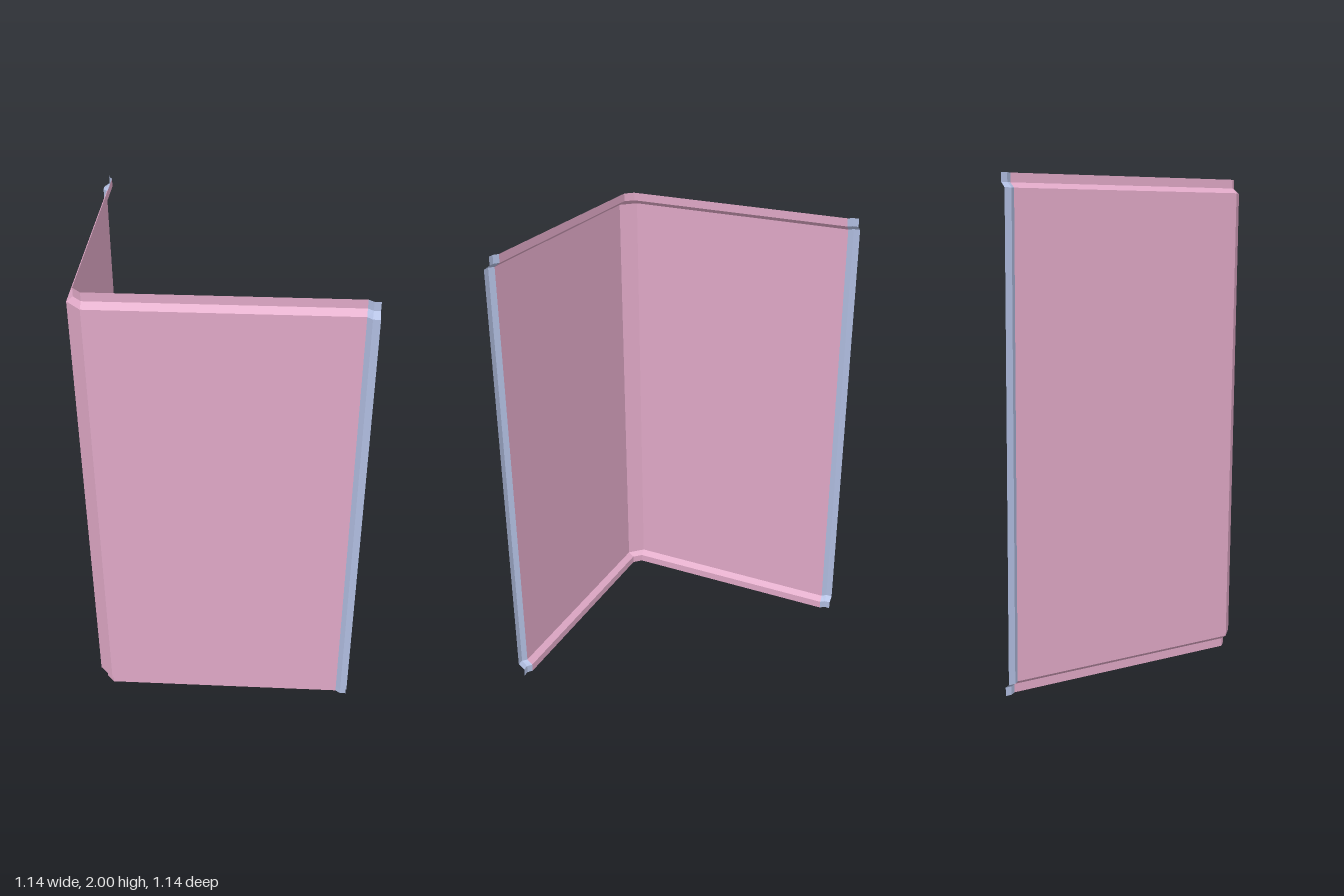
import * as THREE from 'three';

const pink = new THREE.MeshStandardMaterial({ name: 'pink panel', color: 0xdfa8c6, side: THREE.DoubleSide });
const blue = new THREE.MeshStandardMaterial({ name: 'pale blue edge', color: 0xb0bde0, side: THREE.DoubleSide });

// Half plan from the corner to the open end: [x, z] of the body and of the inset lip
const half = [
  { body: [-0.492, 0.551], lip: [-0.491, 0.525] },
  { body: [0.521, 0.551], lip: [0.523, 0.525] },
  { body: [0.54, 0.568], lip: [0.543, 0.54] },
  { body: [0.568, 0.568], lip: [0.568, 0.54] },
];
// The other half mirrors across the corner diagonal
const swap = ([x, z]) => [-z, -x];
const plan = [...half.map((p) => ({ body: swap(p.body), lip: swap(p.lip) })).reverse(), ...half];

// Heights of the folded section: lip, slope, body, slope, lip
const section = [[0, 'lip'], [0.035, 'lip'], [0.055, 'body'], [1.945, 'body'], [1.965, 'lip'], [2, 'lip']];

// Folded sheet between two plan stations, facing outward
function sheet(name, a, b, material) {
  const pos = [];
  const at = (p, [y, key]) => [p[key][0], y, p[key][1]];
  for (let i = 0; i < section.length - 1; i++) {
    const lo = section[i], hi = section[i + 1];
    const p = at(a, lo), q = at(b, lo), r = at(b, hi), s = at(a, hi);
    pos.push(...p, ...q, ...r, ...p, ...r, ...s);
  }
  const g = new THREE.BufferGeometry();
  g.setAttribute('position', new THREE.Float32BufferAttribute(pos, 3));
  g.computeVertexNormals();
  const mesh = new THREE.Mesh(g, material);
  mesh.name = name;
  return mesh;
}

export function createModel() {
  const group = new THREE.Group();
  group.name = 'cornerPanel';
  const parts = [
    ['sideEndFlange', blue], ['sideEndStep', blue], ['sideWall', pink], ['cornerBevel', pink],
    ['frontWall', pink], ['frontEndStep', blue], ['frontEndFlange', blue],
  ];
  parts.forEach(([name, material], i) => group.add(sheet(name, plan[i], plan[i + 1], material)));
  return group;
}
